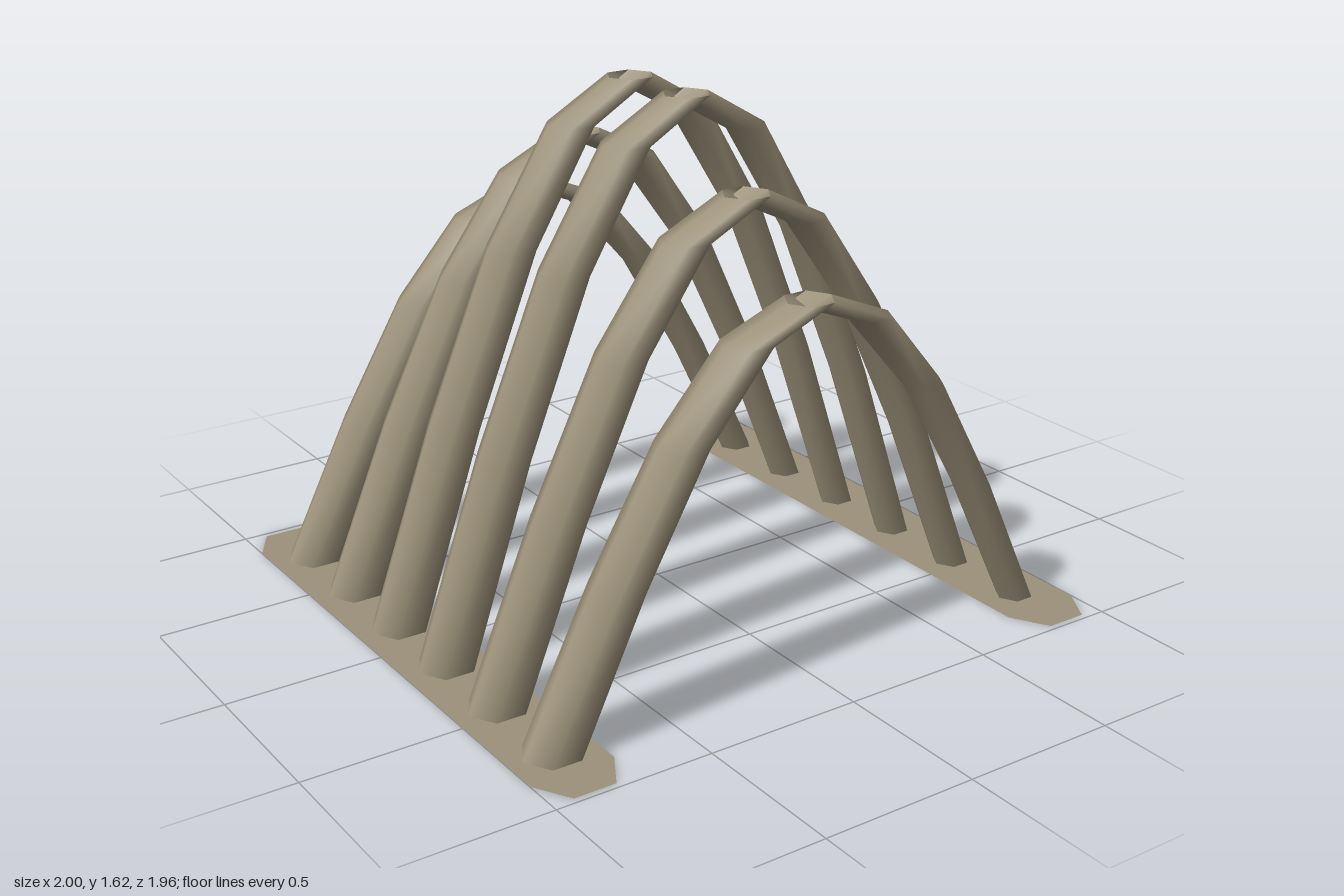
import * as THREE from 'three';

const SPAN = 0.86, SIDES = 6, STEPS = 4;

// Half of an arched rib: level hexagon rings rising on a sine curve from foot to crown
function halfRibGeometry(side, height) {
  const pos = [], index = [];
  for (let k = 0; k <= STEPS; k++) {
    const t = k / STEPS;
    const x = side * SPAN * (1 - t);
    const y = height * Math.sin(t * Math.PI / 2);
    const r = 0.0765 - 0.0175 * x / SPAN; // thicker at the -x foot
    for (let j = 0; j < SIDES; j++) {
      const a = j / SIDES * Math.PI * 2;
      pos.push(x + r * Math.cos(a), y, r * Math.sin(a));
    }
  }
  for (let k = 0; k < STEPS; k++) {
    for (let j = 0; j < SIDES; j++) {
      const a = k * SIDES + j, b = k * SIDES + (j + 1) % SIDES;
      index.push(a, a + SIDES, b, b, a + SIDES, b + SIDES);
    }
  }
  const g = new THREE.BufferGeometry();
  g.setAttribute('position', new THREE.Float32BufferAttribute(pos, 3));
  g.setIndex(index);
  g.computeVertexNormals();
  return g;
}

// Flat strip with clipped corners, lying on the ground
function baseGeometry() {
  const w = 0.134, c = 0.067, l = 0.98, m = 0.865;
  const shape = new THREE.Shape([
    [-c, -l], [c, -l], [w, -m], [w, m], [c, l], [-c, l], [-w, m], [-w, -m],
  ].map(([x, y]) => new THREE.Vector2(x, y)));
  return new THREE.ShapeGeometry(shape).rotateX(-Math.PI / 2);
}

export function createModel() {
  const group = new THREE.Group();
  const material = new THREE.MeshStandardMaterial({ color: 0x9c917a, side: THREE.DoubleSide });

  // Six ribs, tallest in the middle
  [1.15, 1.385, 1.62, 1.62, 1.385, 1.15].forEach((height, i) => {
    const rib = new THREE.Group();
    rib.name = 'rib' + (i + 1);
    for (const side of [-1, 1]) {
      const half = new THREE.Mesh(halfRibGeometry(side, height), material);
      half.name = side > 0 ? 'leftRibHalf' : 'rightRibHalf';
      rib.add(half);
    }
    rib.position.z = -0.75 + i * 0.3;
    group.add(rib);
  });

  // Base strips under the feet
  for (const side of [-1, 1]) {
    const base = new THREE.Mesh(baseGeometry(), material);
    base.name = side > 0 ? 'leftBase' : 'rightBase';
    base.position.x = side * 0.866;
    group.add(base);
  }
  return group;
}
